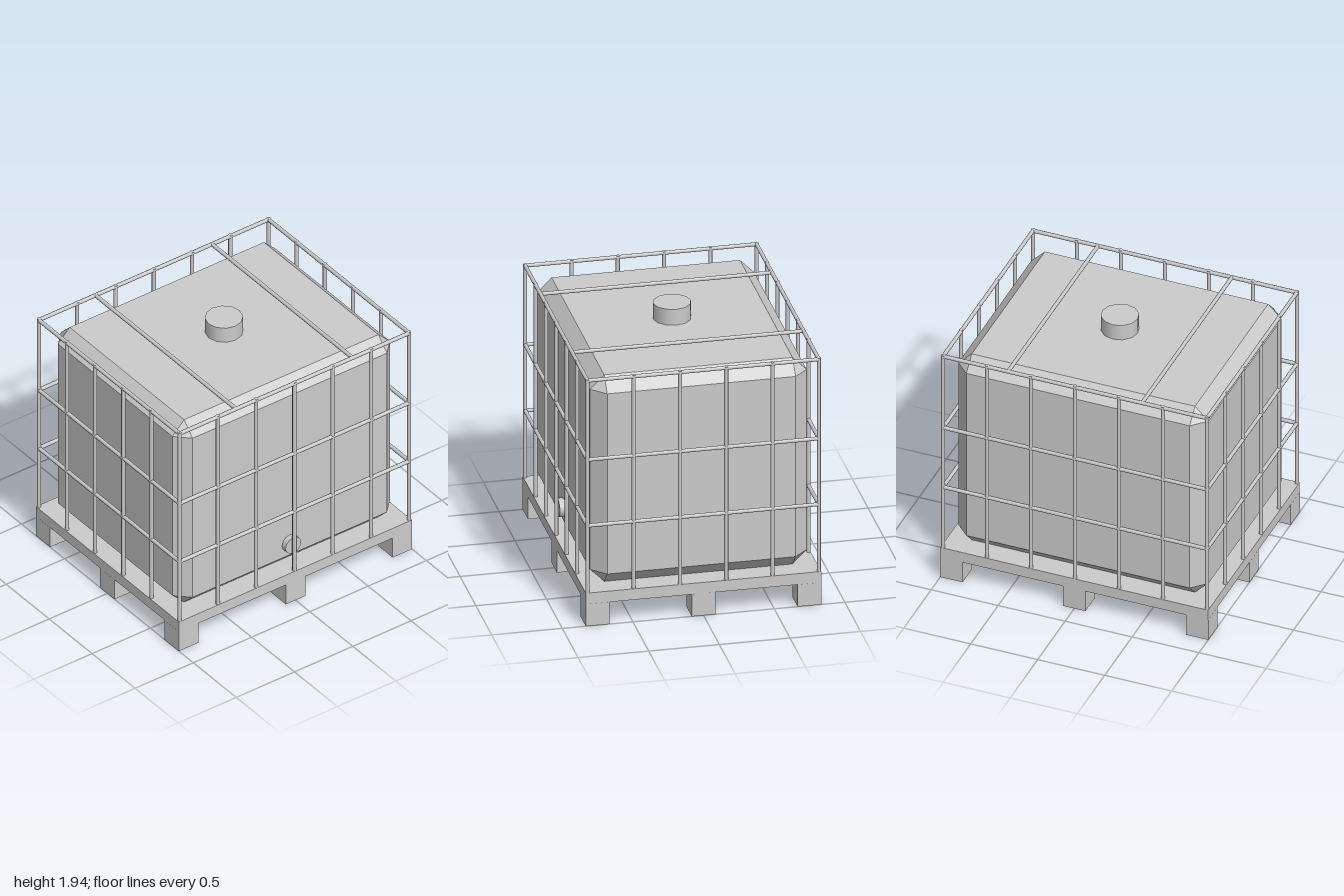
import * as THREE from 'three';
import { ConvexGeometry } from 'three/addons/geometries/ConvexGeometry.js';

const grey = new THREE.MeshStandardMaterial({ color: 0xcccccc });
const flatGrey = new THREE.MeshStandardMaterial({ color: 0xcccccc, flatShading: true });

function add(parent, name, geometry, x, y, z, material = grey) {
  const mesh = new THREE.Mesh(geometry, material);
  mesh.name = name;
  mesh.position.set(x, y, z);
  parent.add(mesh);
  return mesh;
}

// Box with every edge and corner cut at 45 degrees
function chamferedBox(w, h, d, c) {
  const points = [];
  for (const sx of [-1, 1]) for (const sy of [-1, 1]) for (const sz of [-1, 1]) {
    for (let axis = 0; axis < 3; axis++) {
      const p = [w, h, d].map((size, i) => size / 2 - (i === axis ? 0 : c));
      points.push(new THREE.Vector3(p[0] * sx, p[1] * sy, p[2] * sz));
    }
  }
  return new ConvexGeometry(points);
}

// Round bar between two points
function bar(parent, name, a, b, radius = 0.0145) {
  const from = new THREE.Vector3(...a), to = new THREE.Vector3(...b);
  const dir = to.clone().sub(from);
  const mid = from.clone().add(to).multiplyScalar(0.5);
  const mesh = add(parent, name, new THREE.CylinderGeometry(radius, radius, dir.length(), 8), mid.x, mid.y, mid.z);
  mesh.quaternion.setFromUnitVectors(new THREE.Vector3(0, 1, 0), dir.normalize());
}

export function createModel() {
  const model = new THREE.Group();
  model.name = 'caged liquid container';

  // Pallet: deck on nine cube feet
  const pallet = new THREE.Group();
  pallet.name = 'pallet';
  model.add(pallet);
  add(pallet, 'palletDeck', new THREE.BoxGeometry(2, 0.083, 1.667), 0, 0.2085, 0);
  for (const x of [-0.917, 0, 0.917]) for (const z of [-0.75, 0, 0.75]) {
    add(pallet, 'palletFoot', new THREE.BoxGeometry(0.167, 0.167, 0.167), x, 0.0835, z);
  }

  // Tank with filler cap and outlet valve
  add(model, 'tank', chamferedBox(1.867, 1.567, 1.533, 0.1), 0, 1.0335, 0, flatGrey);
  add(model, 'fillerCap', new THREE.CylinderGeometry(0.133, 0.133, 0.13, 12), 0, 1.872, 0);
  const valve = add(model, 'outletValve', new THREE.CylinderGeometry(0.067, 0.067, 0.1, 12), 0, 0.455, 0.758);
  valve.rotation.x = Math.PI / 2;

  // Cage
  const cage = new THREE.Group();
  cage.name = 'cage';
  model.add(cage);
  const X = 0.985, Z = 0.819, base = 0.25, top = 1.867;

  // Uprights: front and back rows include the corner posts
  for (const s of [-1, 1]) {
    for (let i = 0; i <= 6; i++) {
      const x = -X + (2 * X * i) / 6;
      bar(cage, 'upright', [x, base, s * Z], [x, top, s * Z]);
    }
    for (let i = 1; i < 5; i++) {
      const z = -Z + (2 * Z * i) / 5;
      bar(cage, 'sideUpright', [s * X, base, z], [s * X, top, z]);
    }
    // Horizontal rails
    for (const y of [0.755, 1.255, 1.855]) {
      bar(cage, 'longRail', [-X, y, s * Z], [X, y, s * Z]);
      bar(cage, 'sideRail', [s * X, y, -Z], [s * X, y, Z]);
    }
    // Bars across the top
    bar(cage, 'topBar', [s * 0.5, 1.855, -Z], [s * 0.5, 1.855, Z]);
  }

  return model;
}
